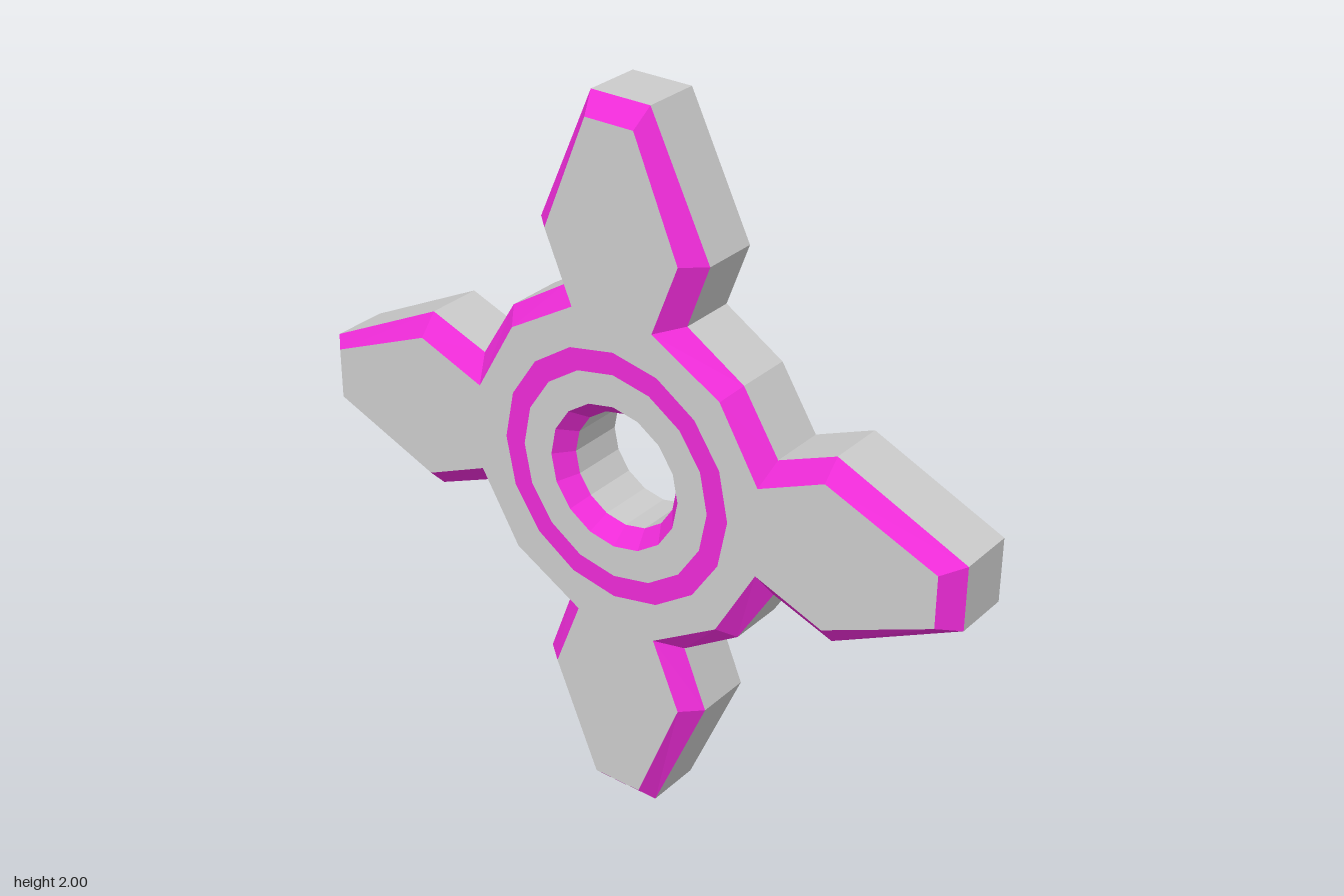
import * as THREE from 'three';

const SIDES = 16;
const BACK = -0.105, CHAMFER = 0.055, FRONT = 0.105;

// One quarter of the outline (counter-clockwise), and the same quarter inset for the chamfer
const OUTER = [[0.36, 0.36], [0.19, 0.465], [0.255, 0.64], [0.077, 1], [-0.1, 1], [-0.262, 0.632], [-0.193, 0.465]];
const INNER = [[0.325, 0.325], [0.12, 0.442], [0.197, 0.64], [0.065, 0.95], [-0.08, 0.95], [-0.21, 0.632], [-0.128, 0.442]];

// Repeat a quarter outline four times around the centre
function fourArms(quarter) {
  const points = [];
  for (let k = 0; k < 4; k++) {
    for (const [x, y] of quarter) {
      points.push(new THREE.Vector2(x, y).rotateAround(new THREE.Vector2(), k * Math.PI / 2));
    }
  }
  return points;
}

// Regular polygon, clockwise so that bands built on it face inward
function holeLoop(radius) {
  return Array.from({ length: SIDES }, (_, i) => {
    const a = -i / SIDES * Math.PI * 2;
    return new THREE.Vector2(Math.cos(a) * radius, Math.sin(a) * radius);
  });
}

// Flat-sided strip joining two loops at different depths
function band(a, za, b, zb) {
  const pos = [];
  for (let i = 0; i < a.length; i++) {
    const j = (i + 1) % a.length;
    const a0 = [a[i].x, a[i].y, za], a1 = [a[j].x, a[j].y, za];
    const b0 = [b[i].x, b[i].y, zb], b1 = [b[j].x, b[j].y, zb];
    pos.push(...a0, ...a1, ...b1, ...a0, ...b1, ...b0);
  }
  const geometry = new THREE.BufferGeometry();
  geometry.setAttribute('position', new THREE.Float32BufferAttribute(pos, 3));
  geometry.computeVertexNormals();
  return geometry;
}

export function createModel() {
  const group = new THREE.Group();
  group.name = 'fourPointedStar';
  const options = { flatShading: true, side: THREE.DoubleSide };
  const grey = new THREE.MeshStandardMaterial({ color: 0xcccccc, ...options });
  const magenta = new THREE.MeshStandardMaterial({ color: 0xec2bd6, ...options });

  const add = (name, geometry, material, z = 0) => {
    const mesh = new THREE.Mesh(geometry, material);
    mesh.name = name;
    mesh.position.set(0, 1, z);
    group.add(mesh);
  };

  const outer = fourArms(OUTER), inner = fourArms(INNER);

  // Open-backed shell: side wall and chamfered rim
  add('outerWall', band(outer, BACK, outer, CHAMFER), grey);
  add('rimChamfer', band(outer, CHAMFER, inner, FRONT), magenta);

  // Front face, split by the coloured ring
  const face = new THREE.Shape(inner);
  face.holes.push(new THREE.Path(holeLoop(0.355)));
  add('frontFace', new THREE.ShapeGeometry(face), grey, FRONT);
  add('colouredRing', new THREE.RingGeometry(0.293, 0.355, SIDES), magenta, FRONT);
  add('hubFace', new THREE.RingGeometry(0.203, 0.293, SIDES), grey, FRONT);

  // Centre hole: funnel chamfer and tube
  const hole = holeLoop(0.162);
  add('holeChamfer', band(hole, CHAMFER, holeLoop(0.203), FRONT), magenta);
  add('holeTube', band(hole, BACK, hole, CHAMFER), grey);

  return group;
}
